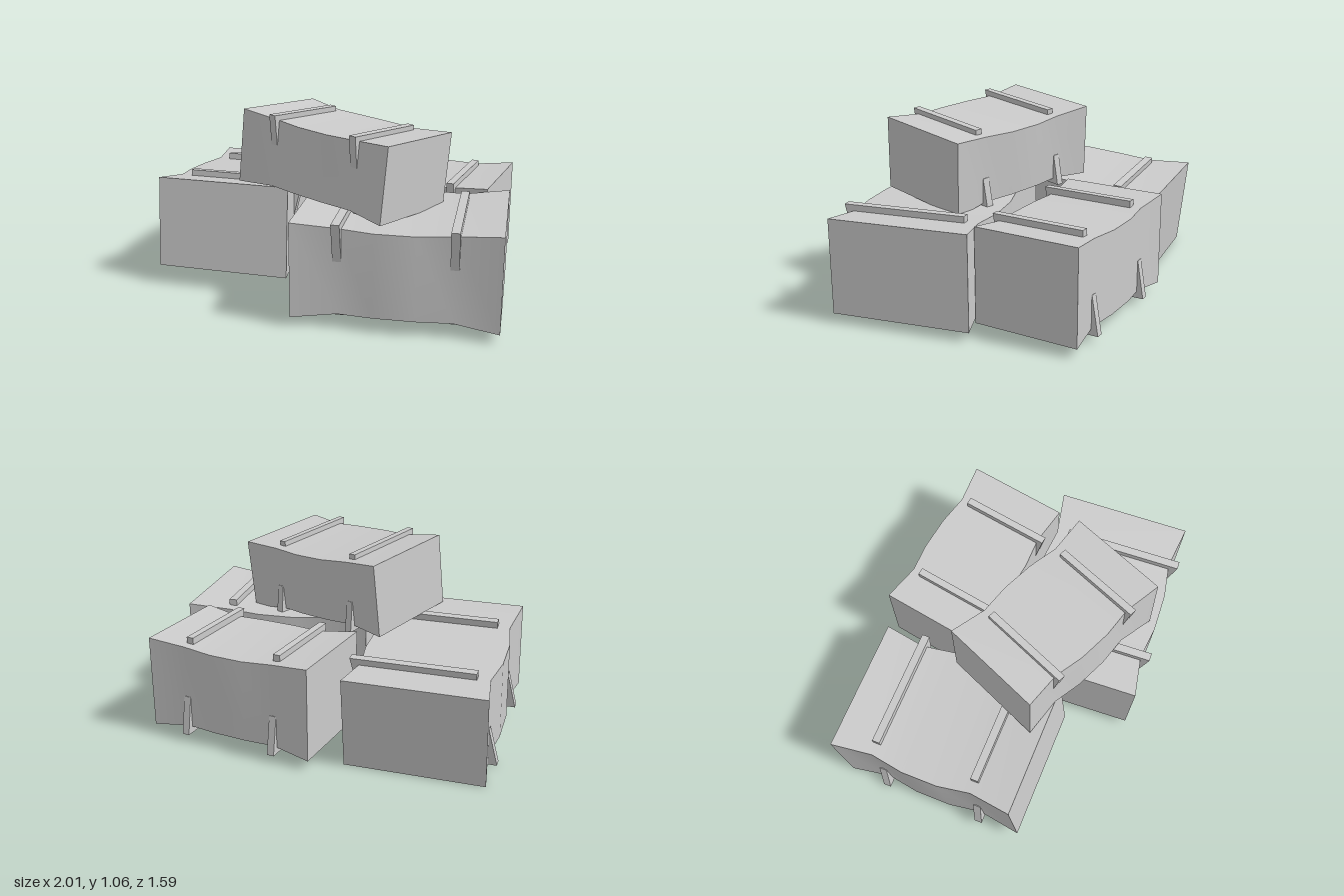
import * as THREE from 'three';

const material = new THREE.MeshStandardMaterial({ color: 0xcccccc });

// Sections along the unit bale: [x, half height, half depth], pinched at the straps
const SECTIONS = [
  [-0.5, 0.5, 0.5], [-0.275, 0.452, 0.455], [-0.1, 0.442, 0.494],
  [0.1, 0.442, 0.494], [0.28, 0.452, 0.455], [0.5, 0.5, 0.5],
];
const STRAP_X = [-0.275, 0.28];
// Corner signs [y, z] of a section
const CORNERS = [[1, 1], [1, -1], [-1, -1], [-1, 1]];

// Four sides, smooth along the length and sharp at the edges, plus flat ends
function baleGeometry() {
  const pos = [], idx = [];
  const n = SECTIONS.length;
  for (let s = 0; s < 4; s++) {
    const a = CORNERS[s], b = CORNERS[(s + 1) % 4], base = pos.length / 3;
    for (const [x, h, d] of SECTIONS) pos.push(x, a[0] * h, a[1] * d, x, b[0] * h, b[1] * d);
    for (let i = 0; i < n - 1; i++) {
      const k = base + i * 2;
      idx.push(k, k + 2, k + 1, k + 1, k + 2, k + 3);
    }
  }
  for (const [x, h, d] of [SECTIONS[0], SECTIONS[n - 1]]) {
    const k = pos.length / 3;
    for (const [y, z] of CORNERS) pos.push(x, y * h, z * d);
    if (x > 0) idx.push(k, k + 2, k + 1, k, k + 3, k + 2);
    else idx.push(k, k + 1, k + 2, k, k + 2, k + 3);
  }
  const g = new THREE.BufferGeometry();
  g.setAttribute('position', new THREE.Float32BufferAttribute(pos, 3));
  g.setIndex(idx);
  g.computeVertexNormals();
  return g;
}

// Hooked strap: a bar across the top that tapers down over the front
function strapGeometry() {
  const width = 0.042;
  const outline = [[-0.365, 0.42], [0.44, 0.42], [0.44, 0.11], [0.462, 0.11], [0.525, 0.522], [-0.365, 0.522]];
  const shape = new THREE.Shape(outline.map(([z, y]) => new THREE.Vector2(z, y)));
  const g = new THREE.ExtrudeGeometry(shape, { depth: width, bevelEnabled: false });
  g.translate(0, 0, -width / 2);
  g.rotateY(-Math.PI / 2);
  return g;
}

export function createModel() {
  const model = new THREE.Group();
  model.name = 'baleStack';
  const body = baleGeometry(), strap = strapGeometry();
  const deg = THREE.MathUtils.degToRad;

  const addBale = (name, size, position, [pitch, yaw, roll]) => {
    const bale = new THREE.Group();
    bale.name = name;
    const block = new THREE.Mesh(body, material);
    block.name = 'baleBody';
    bale.add(block);
    // One strap hooks over the top front, its twin under the bottom back
    for (const x of STRAP_X) {
      for (const turn of [0, Math.PI]) {
        const m = new THREE.Mesh(strap, material);
        m.name = turn ? 'bottomStrap' : 'topStrap';
        m.position.x = x;
        m.rotation.x = turn;
        bale.add(m);
      }
    }
    bale.scale.set(...size);
    bale.position.set(...position);
    bale.rotation.set(deg(pitch), deg(yaw), deg(roll), 'YXZ');
    model.add(bale);
  };

  addBale('frontBale', [1.11, 0.535, 0.78], [0.445, 0.323, 0.383], [0, 0, 0]);
  addBale('backBale', [1.0, 0.535, 0.6], [0.45, 0.323, -0.395], [0, -12.3, 0]);
  addBale('rightBale', [1.105, 0.527, 0.78], [-0.57, 0.322, -0.192], [0, 86.1, -6]);
  addBale('topBale', [0.995, 0.42, 0.605], [0.075, 0.8, 0.22], [-4.5, -27, -3]);
  return model;
}
